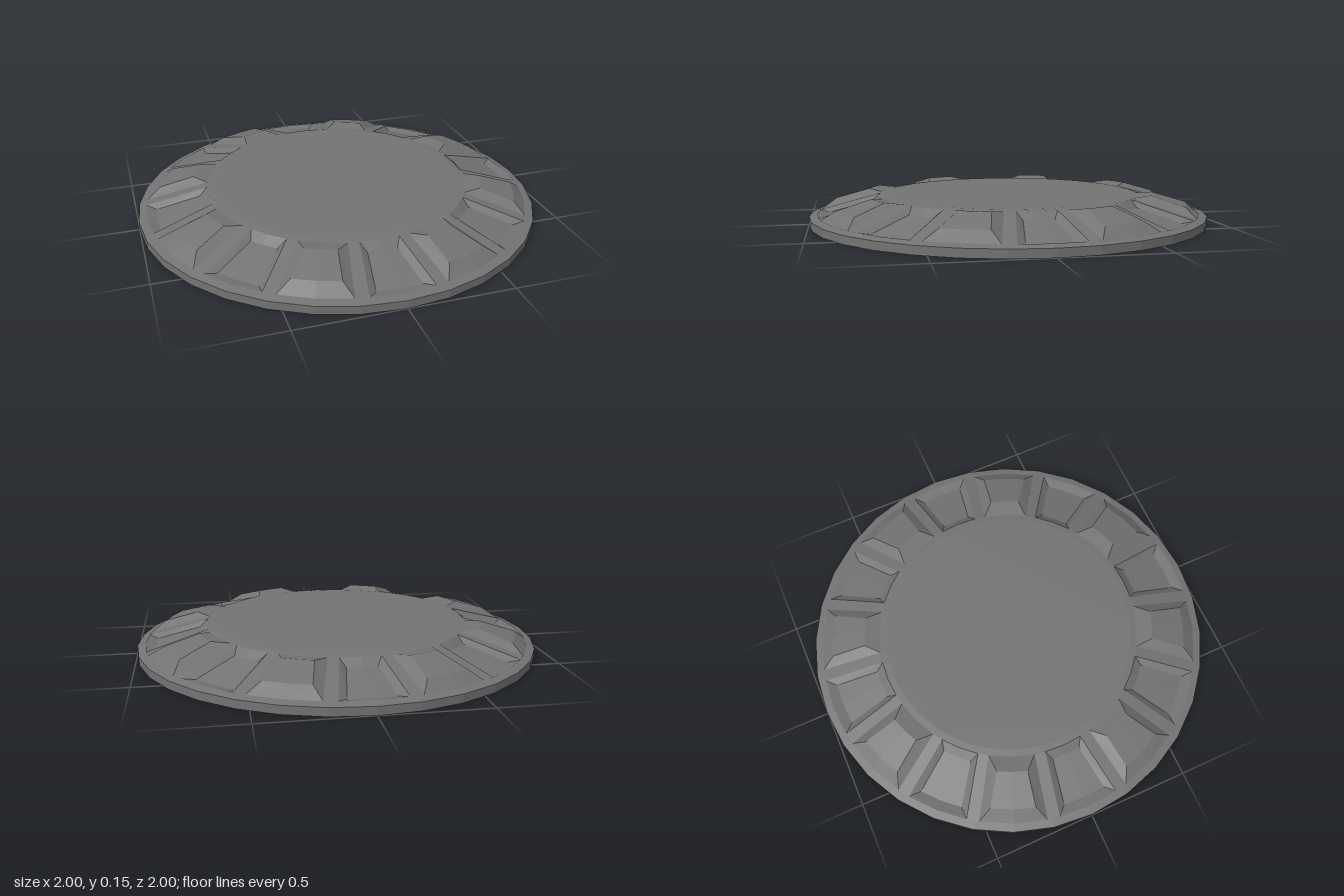
import * as THREE from 'three';

const SECTORS = 8;
const material = new THREE.MeshStandardMaterial({ color: 0x737373, flatShading: true });

// Point given by radius, angle in degrees and height
function polar(r, deg, y) {
  const a = THREE.MathUtils.degToRad(deg);
  return [r * Math.sin(a), y, r * Math.cos(a)];
}

function mesh(name, geometry, y = 0) {
  const m = new THREE.Mesh(geometry, material);
  m.name = name;
  m.position.y = y;
  return m;
}

// Flat-shaded geometry from a list of four-cornered faces
function fromQuads(quads) {
  const positions = quads.flatMap(([a, b, c, d]) => [a, b, c, a, c, d].flat());
  const g = new THREE.BufferGeometry();
  g.setAttribute('position', new THREE.Float32BufferAttribute(positions, 3));
  g.computeVertexNormals();
  return g;
}

// Outline of a ring section, anticlockwise from above
function outline(mid, s) {
  const p = (end, side) => polar(end.r, mid + side * end.half, end.y);
  return [p(s.inner, -1), p(s.outer, -1), p(s.outer, 0), p(s.outer, 1), p(s.inner, 1), p(s.inner, 0)];
}

// Bevelled panel: sloping sides from the edge outline to the face outline
function panel(mid, edge, face) {
  const e = outline(mid, edge), f = outline(mid, face);
  const quads = e.map((p, i) => [p, e[(i + 1) % 6], f[(i + 1) % 6], f[i]]);
  quads.push([f[0], f[1], f[2], f[5]], [f[5], f[2], f[3], f[4]]);
  return quads;
}

// Shared inner and outer edges of the sloping ring
const INNER = { r: 0.655, y: 0.136 };
const OUTER = { r: 0.96, y: 0.051 };
const recessEdge = { inner: { ...INNER, half: 8.2 }, outer: { ...OUTER, half: 9 } };
const recessFace = { inner: { r: 0.695, half: 5.8, y: 0.102 }, outer: { r: 0.91, half: 6.7, y: 0.042 } };
const blockEdge = { inner: { ...INNER, half: 9.7 }, outer: { ...OUTER, half: 9.9 } };
const blockFace = { inner: { r: 0.73, half: 5.8, y: 0.147 }, outer: { r: 0.9, half: 7, y: 0.098 } };

export function createModel() {
  const group = new THREE.Group();

  // Base plate with a shallow sloping lip
  group.add(mesh('basePlate', new THREE.CylinderGeometry(1, 1, 0.04, 32), 0.02));
  group.add(mesh('baseLip', new THREE.CylinderGeometry(0.955, 1, 0.01, 32, 1, true), 0.045));

  // Alternating recesses and raised blocks, with sloping ribs between
  const recesses = [], blocks = [], ribs = [], innerAngles = [];
  for (let i = 0; i < SECTORS; i++) {
    const a = i * 360 / SECTORS;
    recesses.push(...panel(a, recessEdge, recessFace));
    blocks.push(...panel(a + 22.5, blockEdge, blockFace));
    for (const [innerA, innerB, outerA, outerB] of [[8.2, 12.8, 9, 12.6], [-12.8, -8.2, -12.6, -9]]) {
      ribs.push([
        polar(INNER.r, a + innerA, INNER.y), polar(OUTER.r, a + outerA, OUTER.y),
        polar(OUTER.r, a + outerB, OUTER.y), polar(INNER.r, a + innerB, INNER.y),
      ]);
    }
    innerAngles.push(...[-8.2, 0, 8.2, 12.8, 22.5, 32.2].map((d) => a + d));
  }
  group.add(mesh('recessedPanels', fromQuads(recesses)));
  group.add(mesh('raisedBlocks', fromQuads(blocks)));
  group.add(mesh('ribs', fromQuads(ribs)));

  // Narrow bevel and flat centre, meeting the ring along its inner edge
  const bevel = innerAngles.map((a, i) => {
    const b = innerAngles[(i + 1) % innerAngles.length];
    return [polar(0.622, a, 0.14), polar(INNER.r, a, INNER.y), polar(INNER.r, b, INNER.y), polar(0.622, b, 0.14)];
  });
  group.add(mesh('centreBevel', fromQuads(bevel)));
  const disc = new THREE.Shape(innerAngles.map((a) => {
    const [x, , z] = polar(0.622, a, 0);
    return new THREE.Vector2(x, -z);
  }));
  group.add(mesh('centreDisc', new THREE.ShapeGeometry(disc).rotateX(-Math.PI / 2), 0.14));

  return group;
}
